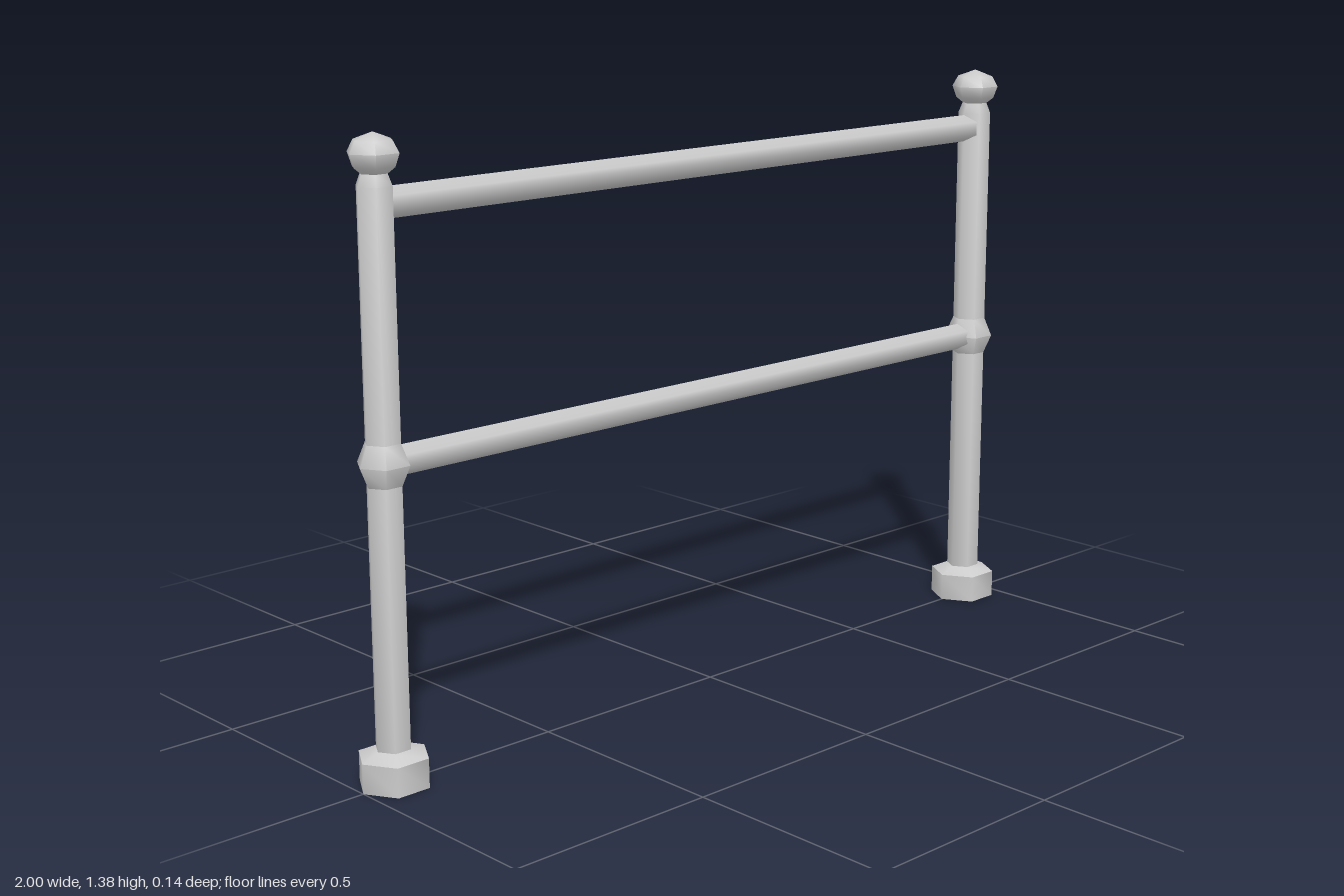
import * as THREE from 'three';
import { toCreasedNormals } from 'three/addons/utils/BufferGeometryUtils.js';

const material = new THREE.MeshStandardMaterial({ color: 0xcccccc });
const SIDES = 6;
const POST_X = 0.92;

// Six-sided turned part with corners pointing along x
function turned(name, profile) {
  const points = profile.map(([r, y]) => new THREE.Vector2(r, y));
  const lathe = new THREE.LatheGeometry(points, SIDES, Math.PI / 2);
  const mesh = new THREE.Mesh(toCreasedNormals(lathe, 1.1), material);
  mesh.name = name;
  return mesh;
}

function createPost(name) {
  const post = new THREE.Group();
  post.name = name;
  post.add(
    turned('foot', [[0, 0], [0.08, 0], [0.08, 0.066], [0.04, 0.082]]),
    turned('shaft', [[0.04, 0.08], [0.04, 1.268], [0.03, 1.293]]),
    turned('collar', [[0.04, 0.653], [0.059, 0.698], [0.04, 0.743]]),
    turned('knob', [[0.028, 1.291], [0.047, 1.306], [0.057, 1.334], [0.043, 1.359], [0, 1.375]])
  );
  return post;
}

// Horizontal six-sided rail with one ridge on top, ending inside the posts
function createRail(name, y) {
  const geometry = new THREE.CylinderGeometry(0.033, 0.033, POST_X * 2, SIDES, 1, false, Math.PI / 2);
  geometry.rotateZ(Math.PI / 2);
  const rail = new THREE.Mesh(geometry, material);
  rail.name = name;
  rail.position.y = y;
  return rail;
}

export function createModel() {
  const model = new THREE.Group();
  model.name = 'railing';
  for (const side of [-1, 1]) {
    const post = createPost(side > 0 ? 'leftPost' : 'rightPost');
    post.position.x = side * POST_X;
    model.add(post);
  }
  model.add(createRail('lowerRail', 0.698), createRail('upperRail', 1.231));
  return model;
}
